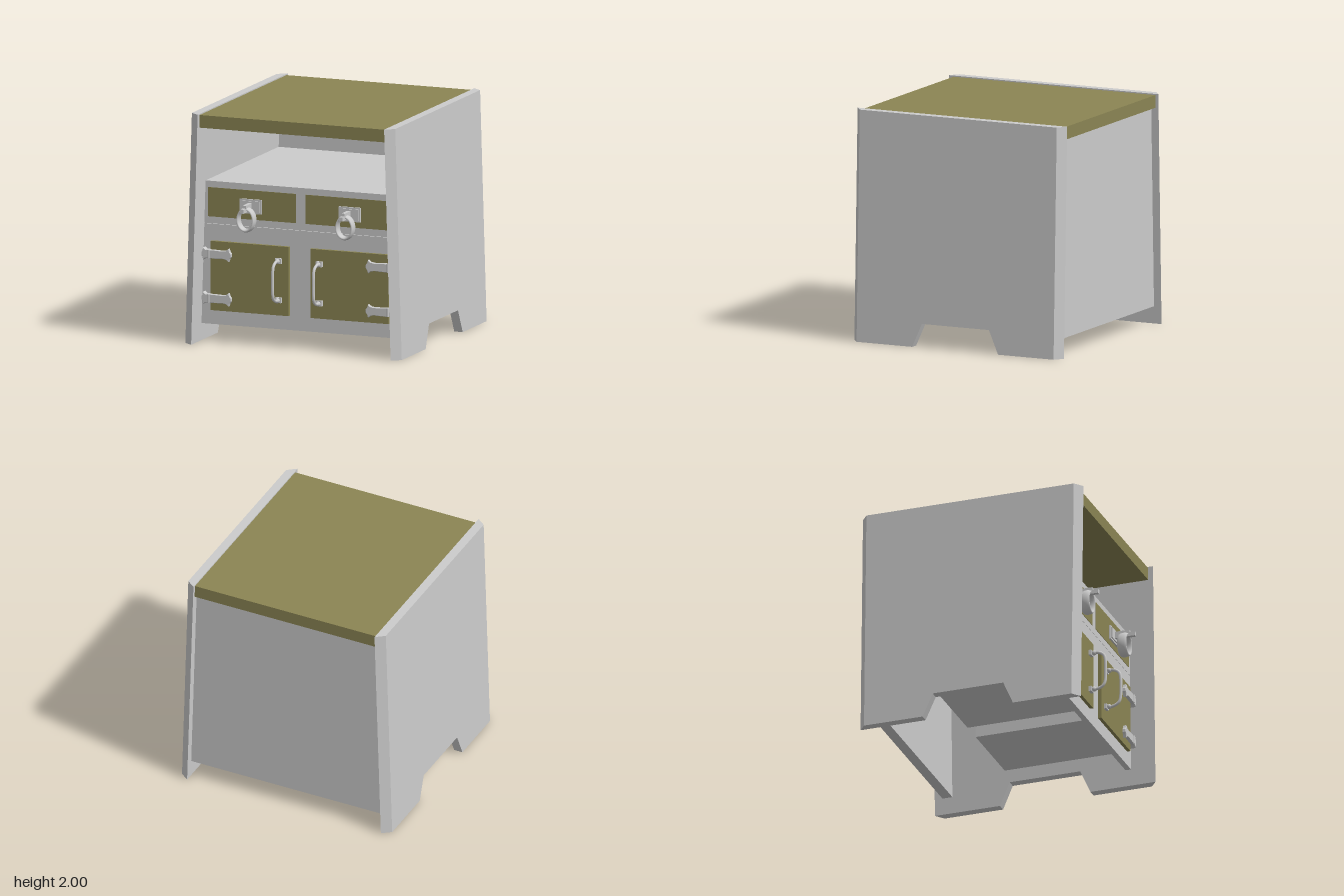
import * as THREE from 'three';

const grey = new THREE.MeshStandardMaterial({ color: 0xcccccc });
const olive = new THREE.MeshStandardMaterial({ color: 0x8b8554 });
const innerX = (y) => 0.92 - 0.03 * y; // inner face of the leaning side panels
const FRONT = 0.78, DOOR = 0.81;       // z of the carcass front and of the doors

function add(parent, name, geometry, material = grey) {
  const mesh = new THREE.Mesh(geometry, material);
  mesh.name = name;
  parent.add(mesh);
  return mesh;
}

// Box given by its limits
function block(x0, x1, y0, y1, z0, z1) {
  return new THREE.BoxGeometry(x1 - x0, y1 - y0, z1 - z0)
    .translate((x0 + x1) / 2, (y0 + y1) / 2, (z0 + z1) / 2);
}

// Board spanning between the leaning side panels
function board(y0, y1, z0, z1) {
  const g = block(-1, 1, y0, y1, z0, z1), p = g.attributes.position;
  for (let i = 0; i < p.count; i++) p.setX(i, Math.sign(p.getX(i)) * (innerX(p.getY(i)) + 0.003));
  g.computeVertexNormals();
  return g;
}

function shapeOf(points) {
  return new THREE.Shape(points.map(([x, y]) => new THREE.Vector2(x, y)));
}

// Leaning side panel with a foot cut-out and bevelled front and back edges
function sidePanel() {
  const shape = shapeOf([[-1, 0], [-0.41, 0], [-0.32, 0.205], [0.32, 0.205],
    [0.41, 0], [1, 0], [1, 2], [-1, 2]]);
  const g = new THREE.ExtrudeGeometry(shape, { depth: 0.078, bevelEnabled: false });
  const p = g.attributes.position;
  for (let i = 0; i < p.count; i++) {
    const u = p.getX(i), y = p.getY(i), w = p.getZ(i);
    const bevel = Math.abs(u) > 0.9 && w > 0.01 ? 0.94 : 1;
    p.setXYZ(i, innerX(y) + w, y, -u * bevel);
  }
  g.computeVertexNormals();
  return g;
}

// Strap hinge: flared strap on the door, small notched leaf on the frame
function hinge(y) {
  const group = new THREE.Group();
  group.name = 'hinge';
  const mirrored = (half) => shapeOf([...half, ...half.slice().reverse().map(([x, v]) => [x, -v])]);
  const opts = (depth) => ({ depth, bevelEnabled: true, bevelSize: 0.004, bevelThickness: 0.005, bevelSegments: 1 });
  const strap = mirrored([[0.822, 0.034], [0.76, 0.033], [0.7, 0.03], [0.665, 0.036],
    [0.645, 0.053], [0.638, 0.03], [0.625, 0.012]].reverse());
  const leaf = mirrored([[0.83, 0.034], [0.86, 0.032], [0.878, 0.048], [0.884, 0.022], [0.892, 0.012]]);
  add(group, 'hingeStrap', new THREE.ExtrudeGeometry(strap, opts(0.025)).translate(0, y, DOOR));
  add(group, 'hingeLeaf', new THREE.ExtrudeGeometry(leaf, opts(0.05)).translate(0, y, FRONT));
  add(group, 'hingePin', new THREE.CylinderGeometry(0.01, 0.01, 0.075, 10).translate(0.826, y, 0.837));
  return group;
}

// Bowed door pull on two mounts
function doorPull(x) {
  const group = new THREE.Group();
  group.name = 'doorPull';
  const path = new THREE.CatmullRomCurve3([[0.75, 0.82], [0.748, 0.89], [0.715, 0.94], [0.58, 0.955],
    [0.445, 0.94], [0.412, 0.89], [0.41, 0.82]].map(([y, z]) => new THREE.Vector3(x, y, z)));
  add(group, 'pullBar', new THREE.TubeGeometry(path, 32, 0.013, 10));
  for (const s of [-1, 1]) {
    const y = 0.58 + s * 0.17;
    add(group, 'pullMount', block(x - 0.028, x + 0.028, y - 0.023, y + 0.023, DOOR, DOOR + 0.025));
    add(group, 'pullBoss', new THREE.SphereGeometry(0.022, 14, 10).translate(x, y, DOOR + 0.04));
  }
  return group;
}

// Drawer ring pull: plate, stud and deep hanging ring
function ringPull(x) {
  const group = new THREE.Group();
  group.name = 'ringPull';
  add(group, 'ringPlate', block(x - 0.1, x + 0.1, 1.135, 1.26, FRONT, FRONT + 0.02));
  add(group, 'ringPlateFace', block(x - 0.085, x + 0.085, 1.15, 1.245, FRONT, FRONT + 0.03));
  add(group, 'ringStud', block(x - 0.016, x + 0.016, 1.17, 1.23, FRONT, 0.94));
  add(group, 'ringStudTip', block(x - 0.016, x + 0.016, 1.17, 1.205, 0.94, 0.99));
  const ring = new THREE.TorusGeometry(0.072, 0.012, 12, 36);
  ring.scale(1, 1.3, 3.6).translate(x, 1.1, 0.89);
  add(group, 'ring', ring);
  return group;
}

export function createModel() {
  const model = new THREE.Group();
  model.name = 'cabinet';

  // Carcass
  add(model, 'leftSide', sidePanel());
  add(model, 'rightSide', sidePanel()).rotation.y = Math.PI;
  add(model, 'top', block(-0.865, 0.865, 1.88, 1.99, -0.97, 0.955), olive);
  add(model, 'backPanel', board(0.15, 1.88, -0.93, -0.84));
  add(model, 'drawerCase', board(1.022, 1.39, -0.85, FRONT));
  add(model, 'frontFrame', board(0.15, 1.019, FRONT - 0.05, FRONT));

  // Mirrored pairs of doors, drawers and hardware
  for (const s of [-1, 1]) {
    const span = (a, b) => (s > 0 ? [a, b] : [-b, -a]);
    add(model, 'cupboardBox', block(...span(0.1, 0.82), 0.275, 0.875, -0.33, FRONT - 0.02));
    add(model, 'door', block(...span(0.1, 0.82), 0.275, 0.875, FRONT - 0.02, DOOR), olive);
    add(model, 'drawerFront', block(...span(0.043, 0.852), 1.082, 1.335, FRONT - 0.02, FRONT + 0.004), olive);
    model.add(ringPull(s * 0.456), doorPull(s * 0.188));
    for (const y of [0.765, 0.38]) {
      const h = hinge(s > 0 ? y : -y);
      if (s < 0) h.rotation.z = Math.PI;
      model.add(h);
    }
  }
  return model;
}
